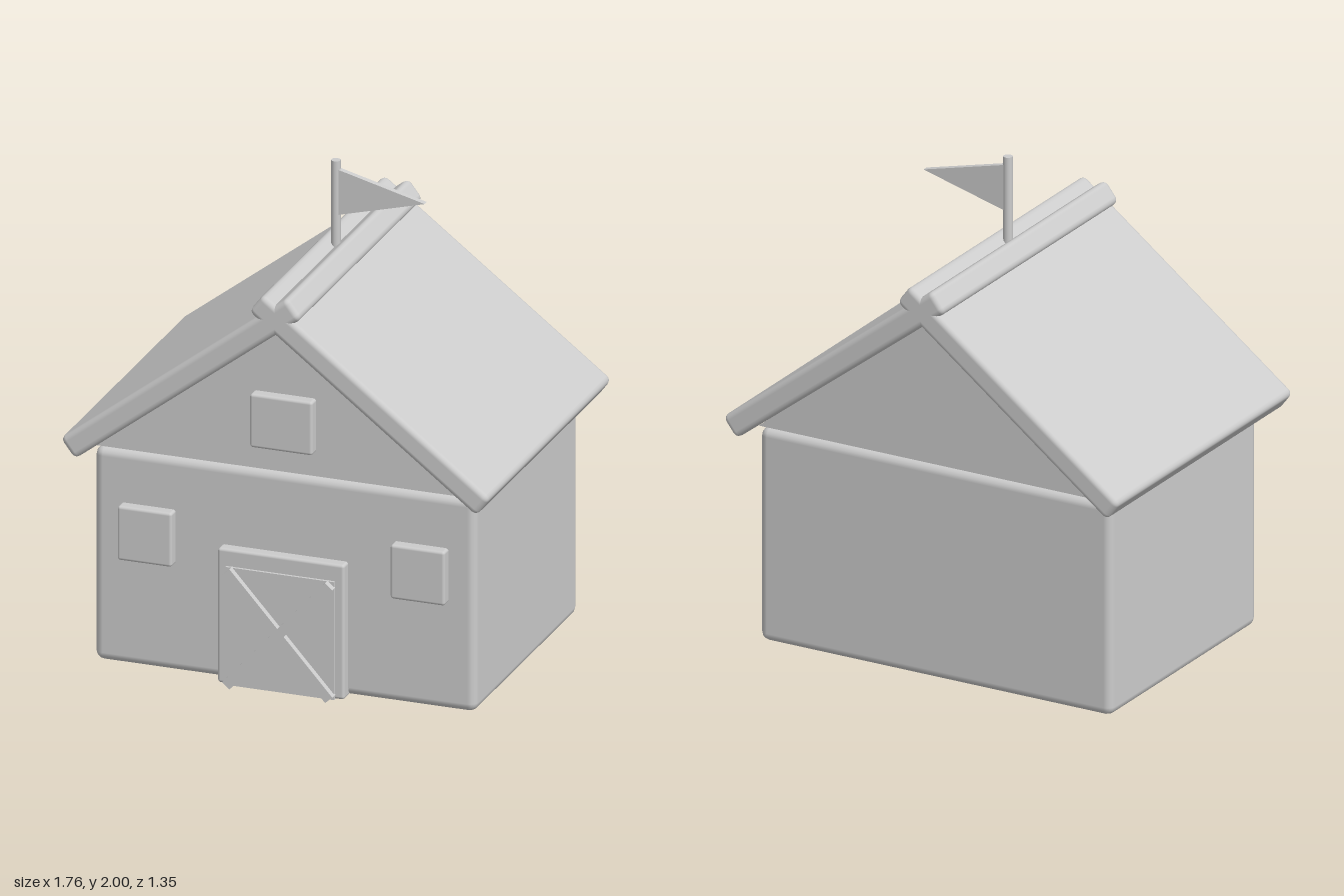
import * as THREE from 'three';
import { RoundedBoxGeometry } from 'three/addons/geometries/RoundedBoxGeometry.js';

export function createModel() {
  const barn = new THREE.Group();
  barn.name = 'barn';
  const grey = new THREE.MeshStandardMaterial({ color: 0xcccccc });
  grey.name = 'light grey';

  function add(name, geometry, x = 0, y = 0, z = 0, tilt = 0) {
    const mesh = new THREE.Mesh(geometry, grey);
    mesh.name = name;
    mesh.position.set(x, y, z);
    mesh.rotation.z = tilt;
    barn.add(mesh);
    return mesh;
  }
  const soft = (w, h, d, r) => new RoundedBoxGeometry(w, h, d, 2, r);

  // Triangular plate of the given depth, centred on z
  function triangle(points, depth) {
    const shape = new THREE.Shape(points.map(([x, y]) => new THREE.Vector2(x, y)));
    return new THREE.ExtrudeGeometry(shape, { depth, bevelEnabled: false }).translate(0, 0, -depth / 2);
  }

  // Walls and the gable block under the roof
  add('walls', soft(1.58, 0.89, 1.12, 0.035), 0, 0.455, 0);
  add('gable', triangle([[-0.79, 0.908], [0.79, 0.908], [0, 1.53]], 1.12));

  // Two roof slabs that cross at the ridge
  const slope = Math.atan2(0.715, 0.935);
  const thick = 0.1;
  for (const side of [-1, 1]) {
    const cx = 0.36 + 0.5 * thick * Math.sin(slope);
    const cy = 1.241 + 0.5 * thick * Math.cos(slope);
    add(side < 0 ? 'rightRoof' : 'leftRoof',
      soft(1.185, thick, 1.35, 0.024), side * cx, cy, 0, -side * slope);
  }

  // Windows
  add('rightWindow', soft(0.226, 0.226, 0.08, 0.012), -0.565, 0.572, 0.565);
  add('leftWindow', soft(0.226, 0.226, 0.08, 0.012), 0.565, 0.572, 0.565);
  add('loftWindow', soft(0.26, 0.224, 0.08, 0.012), 0, 1.12, 0.565);

  // Door with crossed braces
  add('doorFrame', soft(0.525, 0.562, 0.08, 0.012), 0, 0.289, 0.565);
  add('doorPanel', new THREE.BoxGeometry(0.45, 0.492, 0.04), 0, 0.254, 0.596);
  const lean = Math.atan2(0.475, 0.426);
  for (const side of [-1, 1]) {
    add('doorBrace', new THREE.BoxGeometry(0.638, 0.04, 0.034), 0, 0.2525, 0.6255 + side * 0.0005, side * lean);
  }

  // Flagpole and pennant
  add('flagpole', new THREE.CylinderGeometry(0.019, 0.019, 0.42, 12), 0, 1.79, 0);
  add('flag', triangle([[0.01, 1.775], [0.372, 1.872], [0.01, 1.965]], 0.024));

  return barn;
}
